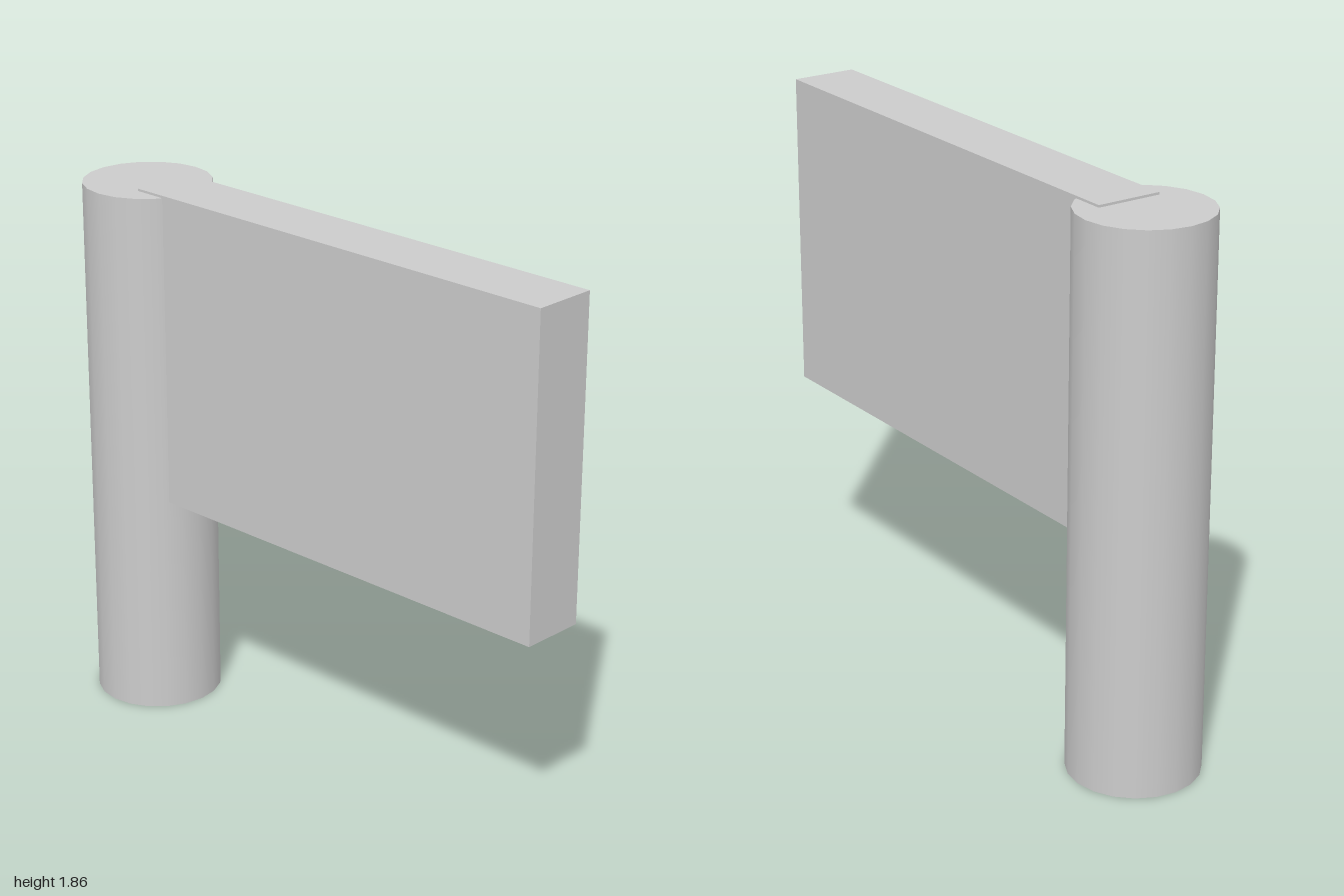
import * as THREE from 'three';

export function createModel() {
  const group = new THREE.Group();
  const material = new THREE.MeshStandardMaterial({ color: 0xcccccc });

  function add(name, geometry, x, y, z) {
    const mesh = new THREE.Mesh(geometry, material);
    mesh.name = name;
    mesh.position.set(x, y, z);
    group.add(mesh);
  }

  // Round upright post
  const postHeight = 1.853;
  add('post', new THREE.CylinderGeometry(0.218, 0.218, postHeight, 20), -0.782, postHeight / 2, 0);

  // Thick rectangular panel set into the post, its top just proud of the post
  const left = -0.71, right = 1, bottom = 0.777, top = 1.861;
  add('panel', new THREE.BoxGeometry(right - left, top - bottom, 0.224),
    (left + right) / 2, (bottom + top) / 2, -0.004);

  return group;
}
